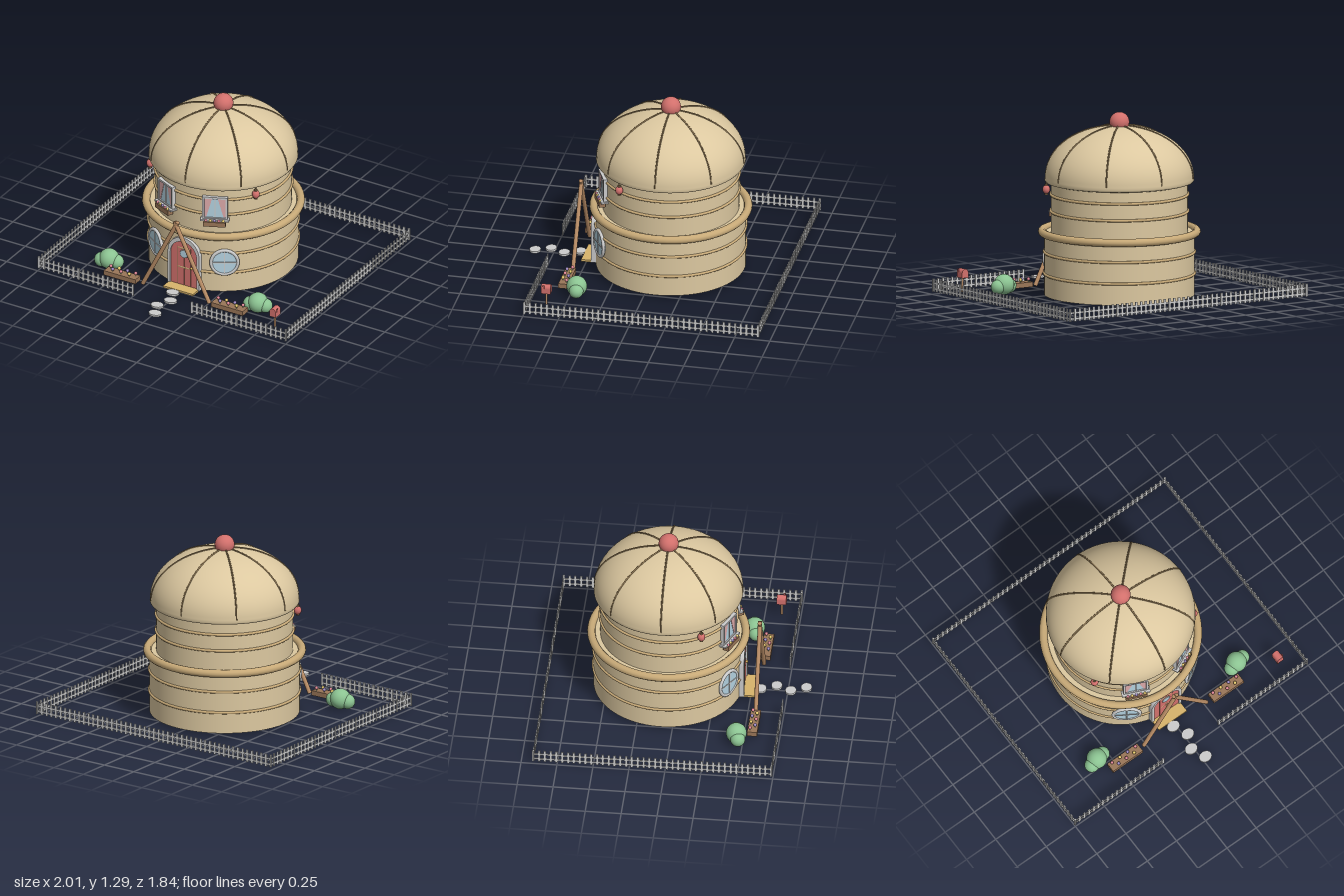
import * as THREE from 'three';
import { mergeGeometries } from 'three/addons/utils/BufferGeometryUtils.js';

const mat = (color, extra = {}) => new THREE.MeshStandardMaterial({ color, ...extra });
const M = {
  wall: mat(0xdcc8a0), trim: mat(0xc8aa78), seam: mat(0x8c7450), red: mat(0xd2706c),
  wood: mat(0xb98d66), planter: mat(0x9a7658), white: mat(0xcccccc), glass: mat(0xb4d2e0),
  leaf: mat(0x8cc492), step: mat(0xd8b46c), gold: mat(0xd8b060), curtain: mat(0xdcaaaa),
  pink: mat(0xe08898), yellow: mat(0xe8cc70), violet: mat(0xa08cc8),
};
const CZ = -0.08; // house axis

function add(parent, name, geo, material, x = 0, y = 0, z = 0) {
  const m = new THREE.Mesh(geo, material);
  m.name = name;
  m.position.set(x, y, z);
  parent.add(m);
  return m;
}
function group(parent, name, x = 0, y = 0, z = 0) {
  const g = new THREE.Group();
  g.name = name;
  g.position.set(x, y, z);
  parent.add(g);
  return g;
}
const box = (w, h, d) => new THREE.BoxGeometry(w, h, d);
const ball = (r, s = 24) => new THREE.SphereGeometry(r, s, Math.ceil(s * 0.6));
const cyl = (r, h, s = 24) => new THREE.CylinderGeometry(r, r, h, s);
const disc = (r, d, s = 32) => cyl(r, d, s).rotateX(Math.PI / 2);
const hoop = (R, r) => new THREE.TorusGeometry(R, r, 12, 72).rotateX(Math.PI / 2);

// group standing on the round wall, its +z pointing outward
function onWall(parent, name, angle, radius, y) {
  const g = group(parent, name, Math.sin(angle) * radius, y, Math.cos(angle) * radius);
  g.rotation.y = angle;
  return g;
}

// upright outline with a semicircular top
function arch(w, h) {
  const s = new THREE.Shape();
  s.moveTo(-w, 0);
  s.lineTo(w, 0);
  s.lineTo(w, h - w);
  s.absarc(0, h - w, w, 0, Math.PI, false);
  s.closePath();
  return s;
}
const extrude = (shape, depth) =>
  new THREE.ExtrudeGeometry(shape, { depth, bevelEnabled: false, curveSegments: 24 });

function buildTower(house) {
  add(house, 'lowerWall', cyl(0.52, 0.44, 72), M.wall, 0, 0.24, 0);
  add(house, 'upperWall', cyl(0.473, 0.37, 72), M.wall, 0, 0.64, 0);
  add(house, 'balconyRing', hoop(0.535, 0.028), M.trim, 0, 0.46, 0);
  for (const y of [0.17, 0.32]) add(house, 'lowerBand', hoop(0.521, 0.01), M.trim, 0, y, 0);
  for (const y of [0.605, 0.722]) add(house, 'upperBand', hoop(0.475, 0.01), M.trim, 0, y, 0);

  // domed roof with a rolled lip
  const profile = [[0.001, 0.81], [0.47, 0.808], [0.495, 0.805], [0.511, 0.81], [0.518, 0.822]]
    .map(([r, y]) => new THREE.Vector2(r, y));
  for (let i = 0; i <= 28; i++) {
    const a = (i / 28) * Math.PI / 2;
    profile.push(new THREE.Vector2(Math.max(0.0001, 0.516 * Math.cos(a)), 0.84 + 0.36 * Math.sin(a)));
  }
  add(house, 'domeRoof', new THREE.LatheGeometry(profile, 72), M.wall);

  // roof seams
  const pts = [];
  for (let i = 0; i <= 12; i++) {
    const a = (i / 12) * Math.PI / 2;
    pts.push(new THREE.Vector3(0, 0.84 + 0.362 * Math.sin(a), 0.514 * Math.cos(a)));
  }
  const seam = new THREE.TubeGeometry(new THREE.CatmullRomCurve3(pts), 32, 0.006, 8);
  for (let i = 0; i < 8; i++) add(house, 'roofSeam', seam, M.seam).rotation.y = i * Math.PI / 4;
  add(house, 'roofBall', ball(0.069, 32), M.red, 0, 1.225, 0);
}

function buildDoor(house) {
  const door = group(house, 'door', 0, 0.02, 0.47);
  const frame = arch(0.126, 0.39);
  frame.holes.push(arch(0.106, 0.357));
  add(door, 'doorFrame', extrude(frame, 0.068), M.white);
  add(door, 'doorPanel', extrude(arch(0.107, 0.358), 0.058), M.red);
  for (const x of [-0.053, 0, 0.053])
    add(door, 'plankGroove', box(0.003, 0.3, 0.004), M.seam, x, 0.16, 0.058);
  add(door, 'doorWindowRim', new THREE.TorusGeometry(0.028, 0.005, 8, 28), M.white, 0, 0.26, 0.06);
  add(door, 'doorWindow', disc(0.028, 0.008), M.glass, 0, 0.26, 0.06);
  add(door, 'doorKnob', ball(0.01, 12), M.gold, 0.065, 0.165, 0.067);
  add(house, 'doorStep', box(0.24, 0.015, 0.12), M.step, 0, 0.024, 0.55);
}

function buildRoundWindow(house, side) {
  const w = onWall(house, 'roundWindow', side * 0.555, 0.523, 0.255);
  add(w, 'glass', disc(0.092, 0.02), M.glass);
  add(w, 'frame', new THREE.TorusGeometry(0.093, 0.012, 10, 40), M.white, 0, 0, 0.004);
  add(w, 'verticalBar', box(0.008, 0.18, 0.012), M.white, 0, 0, 0.008);
  add(w, 'horizontalBar', box(0.18, 0.008, 0.012), M.white, 0, 0, 0.008);
}

function buildUpperWindow(house, side) {
  const w = onWall(house, 'upperWindow', side * 0.42, 0.473, 0.66);
  add(w, 'glass', box(0.16, 0.16, 0.02), M.glass, 0, 0, 0.002);
  for (const s of [-1, 1]) {
    add(w, 'sideFrame', box(0.014, 0.175, 0.03), M.white, s * 0.081, 0, 0.006);
    add(w, 'crossFrame', box(0.176, 0.014, 0.03), M.white, 0, s * 0.081, 0.006);
    // swept-back curtain
    const c = new THREE.Shape();
    c.moveTo(s * 0.074, 0.074);
    c.lineTo(s * 0.02, 0.074);
    c.lineTo(s * 0.06, -0.07);
    c.lineTo(s * 0.074, -0.07);
    add(w, 'curtain', extrude(c, 0.003), M.curtain, 0, 0, 0.012);
  }
  add(w, 'verticalBar', box(0.008, 0.16, 0.02), M.white, 0, 0, 0.007);
  add(w, 'sill', box(0.2, 0.012, 0.05), M.white, 0, -0.088, 0.014);
  add(w, 'flowerBox', box(0.155, 0.035, 0.045), M.planter, 0, -0.112, 0.028);
  for (let i = 0; i < 5; i++)
    add(w, 'flower', ball(0.01, 10), [M.pink, M.yellow, M.violet][i % 3], -0.06 + i * 0.03, -0.086, 0.04);
}

function buildLantern(house, side) {
  const l = onWall(house, 'lantern', side * 1.0, 0.506, 0.755);
  add(l, 'lanternGlobe', ball(0.027, 20), M.red).scale.y = 1.15;
  add(l, 'lanternCap', cyl(0.012, 0.01, 14), M.seam, 0, 0.032, 0);
  add(l, 'lanternFoot', cyl(0.012, 0.01, 14), M.seam, 0, -0.032, 0);
  add(l, 'lanternHook', cyl(0.004, 0.03, 8), M.seam, 0, 0.042, 0);
}

function buildGarden(root, side) {
  // leaning entrance pole
  const a = new THREE.Vector3(side * 0.268, 0.02, 0.555), b = new THREE.Vector3(-side * 0.012, 0.585, 0.555);
  const dir = b.clone().sub(a);
  const pole = add(root, 'entrancePole', cyl(0.015, dir.length(), 14), M.wood);
  pole.position.copy(a).add(b).multiplyScalar(0.5);
  pole.quaternion.setFromUnitVectors(new THREE.Vector3(0, 1, 0), dir.normalize());

  const bush = group(root, 'bush', side * 0.6, 0, 0.455);
  add(bush, 'bushMiddle', ball(0.072), M.leaf, 0, 0.072, 0);
  add(bush, 'bushLeft', ball(0.052), M.leaf, -0.052, 0.058, 0.015);
  add(bush, 'bushRight', ball(0.05), M.leaf, 0.056, 0.06, -0.008);

  const bed = group(root, 'flowerBed', side * 0.433, 0.02, 0.56);
  add(bed, 'bedBox', box(0.255, 0.035, 0.07), M.planter, 0, 0.0175, 0);
  for (let i = 0; i < 7; i++) {
    const x = -0.1 + i * 0.0333, z = i % 2 ? 0.015 : -0.017;
    add(bed, 'stem', cyl(0.003, 0.02, 6), M.leaf, x, 0.042, z);
    add(bed, 'flower', ball(0.012, 12), [M.pink, M.violet, M.yellow][i % 3], x, 0.055, z);
  }
}

function buildFence(root) {
  const runs = [[-0.995, -0.915, 0.995, -0.915], [-0.995, -0.915, -0.995, 0.74], [0.995, -0.915, 0.995, 0.74],
    [-0.995, 0.74, -0.24, 0.74], [0.24, 0.74, 0.995, 0.74]];
  for (const [x0, z0, x1, z1] of runs) {
    const len = Math.hypot(x1 - x0, z1 - z0), n = Math.round(len / 0.04), parts = [];
    for (let i = 0; i <= n; i++)
      parts.push(box(0.017, 0.09, 0.008).translate(-len / 2 + (len * i) / n, 0.065, 0));
    for (const y of [0.04, 0.08]) parts.push(box(len, 0.013, 0.006).translate(0, y, 0));
    const run = add(root, 'fence', mergeGeometries(parts), M.white, (x0 + x1) / 2, 0, (z0 + z1) / 2);
    if (x0 === x1) run.rotation.y = Math.PI / 2;
  }
}

function buildMailbox(root) {
  const m = group(root, 'mailbox', 0.835, 0.02, 0.618);
  add(m, 'mailPost', cyl(0.008, 0.11, 10), M.wood, 0, 0.055, 0);
  add(m, 'mailBody', extrude(arch(0.026, 0.063), 0.066), M.red, 0, 0.1, -0.033);
  add(m, 'mailFlag', box(0.005, 0.025, 0.012), M.red, 0.027, 0.152, 0.015);
}

export function createModel() {
  const root = new THREE.Group();
  root.name = 'roundHouse';
  const house = group(root, 'house', 0, 0, CZ);
  buildTower(house);
  buildDoor(house);
  for (const side of [-1, 1]) {
    buildRoundWindow(house, side);
    buildUpperWindow(house, side);
    buildLantern(house, side);
    buildGarden(root, side);
  }
  buildFence(root);
  buildMailbox(root);
  // stepping stones
  [[-0.022, 0.565], [0.024, 0.67], [-0.022, 0.772], [0.024, 0.876]].forEach(([x, z]) => {
    add(root, 'steppingStone', cyl(0.047, 0.014, 28), M.white, x, 0.022, z).scale.z = 0.82;
  });
  return root;
}
